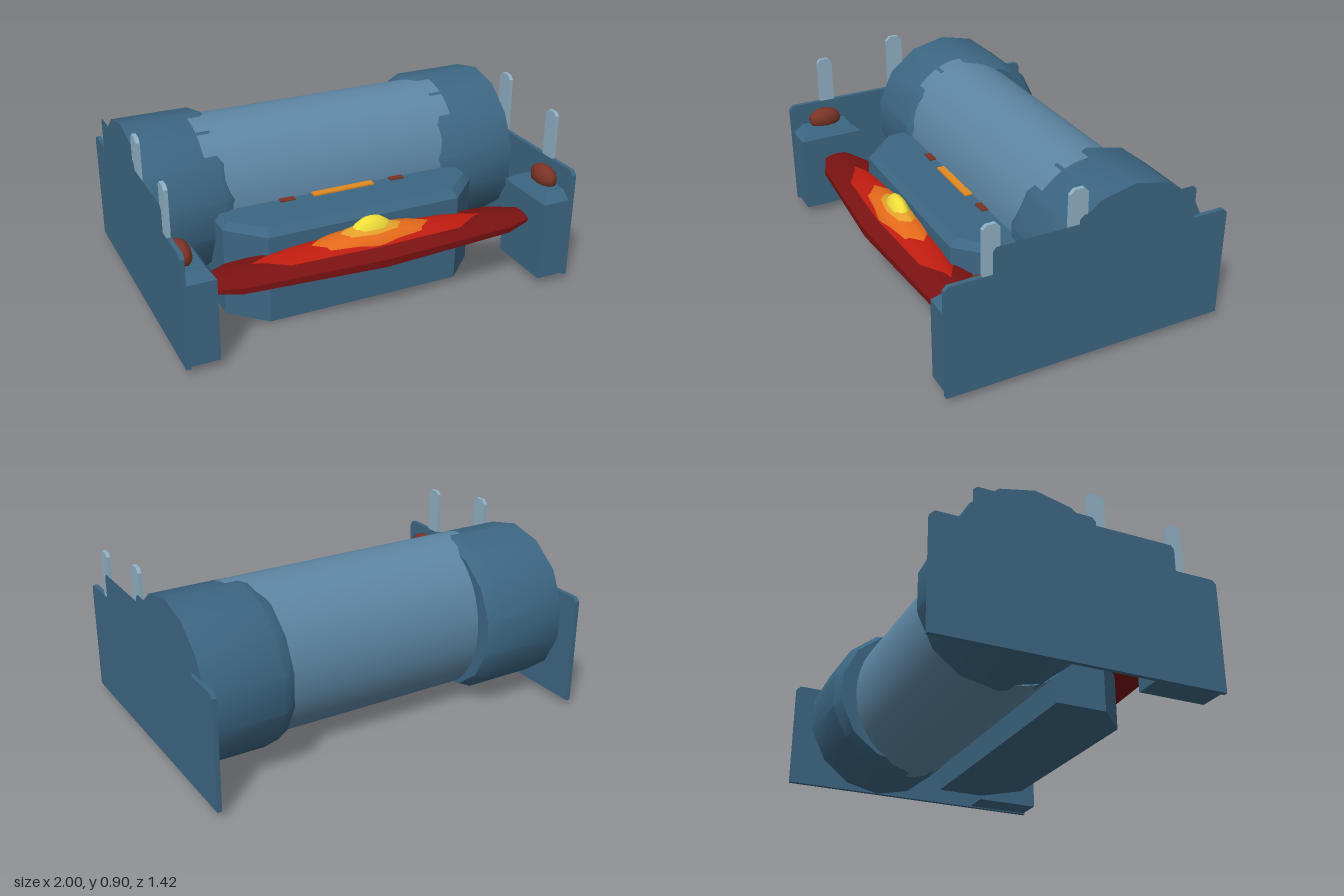
import * as THREE from 'three';
import { toCreasedNormals } from 'three/addons/utils/BufferGeometryUtils.js';
import { ConvexGeometry } from 'three/addons/geometries/ConvexGeometry.js';

const mat = (color, opts = {}) => new THREE.MeshStandardMaterial({ color, ...opts });
const STEEL = mat(0x3c6682), TUBE = mat(0x5d86a3), TAB = mat(0x8fb0c4);
const RUST = mat(0x7a3426), AMBER = mat(0xe08a20);

export function createModel() {
  const model = new THREE.Group();

  const add = (name, geometry, material, x = 0, y = 0, z = 0) => {
    const mesh = new THREE.Mesh(geometry, material);
    mesh.name = name;
    mesh.position.set(x, y, z);
    model.add(mesh);
    return mesh;
  };

  // Turned solid about the x axis; points are [radius, x]
  const turned = (points, sides) => new THREE.LatheGeometry(
    points.map(p => new THREE.Vector2(...p)), sides, -Math.PI / 2).rotateZ(-Math.PI / 2);

  // Outline of [z, y] points, turned to face outward on side s (+1 or -1)
  const sideShape = (points, s) => new THREE.Shape(points.map(([z, y]) => new THREE.Vector2(-s * z, y)));
  const sidePanel = (points, s, depth) => new THREE.ExtrudeGeometry(
    sideShape(points, s), { depth, bevelEnabled: false }).rotateY(s * Math.PI / 2);

  // Outline with both top corners cut
  const cutTop = (z0, z1, y0, y1, c) =>
    [[z0, y0], [z1, y0], [z1, y1 - c], [z1 - c, y1], [z0 + c, y1], [z0, y1 - c]];

  // Upright prism from [x, z] plans, chamfered in to a smaller top plan
  const prism = (plan, topPlan, y0, y1, y2) => new ConvexGeometry([
    ...plan.flatMap(([x, z]) => [new THREE.Vector3(x, y0, z), new THREE.Vector3(x, y1, z)]),
    ...topPlan.map(([x, z]) => new THREE.Vector3(x, y2, z))]);

  // Centre tube, slightly taller than deep
  const tube = turned([[0, -0.665], [0.395, -0.665], [0.395, 0.665], [0, 0.665]], 40).scale(1, 1, 0.85);
  add('drumTube', toCreasedNormals(tube, 0.7), TUBE, 0, 0.44, -0.165);

  // Front block with angled corners
  const blockPlan = (w, fw, back, mid, front) =>
    [[-w, back], [w, back], [w, mid], [fw, front], [-fw, front], [-w, mid]];
  add('frontBlock', prism(blockPlan(0.665, 0.5, 0.04, 0.29, 0.45),
    blockPlan(0.635, 0.485, 0.07, 0.275, 0.415), 0, 0.445, 0.48), STEEL);
  add('amberBar', new THREE.BoxGeometry(0.325, 0.02, 0.045), AMBER, 0, 0.478, 0.185);

  for (const s of [1, -1]) {
    // Drum end caps
    const cap = turned([[0, 0.54], [0.375, 0.54], [0.405, 0.6], [0.405, 0.98], [0, 0.98]], 14);
    if (s < 0) cap.rotateY(Math.PI);
    add('drumCap', toCreasedNormals(cap, 0.6), STEEL, 0, 0.44, -0.21);

    // Side plates with their outer facing
    add('sidePlate', sidePanel(cutTop(-0.71, 0.71, 0.035, 0.6, 0.02), s, 0.022), STEEL, s * 0.976);
    const facing = [[0.49, 0.28], [-0.52, 0.28], [-0.52, 0.75], [-0.5, 0.77], [0.06, 0.77],
      [0.08, 0.75], [0.08, 0.73], [0.475, 0.73], [0.49, 0.71]];
    add('sideFacing', new THREE.ShapeGeometry(sideShape(facing, s)).rotateY(s * Math.PI / 2),
      STEEL, s);

    // Upright tabs
    add('frontTab', sidePanel(cutTop(0.455, 0.535, 0.45, 0.84, 0.018), s, 0.019), TAB, s * 0.978);
    add('rearTab', sidePanel(cutTop(0.04, 0.13, 0.45, 0.9, 0.022), s, 0.019), TAB, s * 0.978);

    // Corner posts and their domes
    const rect = (x0, x1, z0, z1) => [[s * x0, z0], [s * x1, z0], [s * x1, z1], [s * x0, z1]];
    add('cornerPost', prism(rect(0.835, 0.99, 0.36, 0.7), rect(0.865, 0.985, 0.41, 0.65),
      0.04, 0.445, 0.485), STEEL);
    add('postDome', new THREE.SphereGeometry(1, 10, 8).scale(0.05, 0.06, 0.09), RUST,
      s * 0.942, 0.513, 0.53);

    // Small markers beside the amber bar
    add('marker', new THREE.BoxGeometry(0.075, 0.016, 0.04), RUST, s * 0.295, 0.478, 0.182);
  }

  // Long flattened spindle
  const spindle = turned([[0, -0.84], [0.07, -0.84], [0.13, -0.69], [0.175, 0],
    [0.13, 0.69], [0.07, 0.84], [0, 0.84]], 10).scale(1, 0.35, 1);
  add('spindle', toCreasedNormals(spindle, 0.9), mat(0x7a1212), 0, 0.312, 0.508);

  // Nested glowing lenses: half sizes x, y, z, centre y, colour
  const lenses = [
    ['redLens', 0.7, 0.07, 0.13, 0.325, 0xc01c10, 8],
    ['orangeLens', 0.4, 0.085, 0.11, 0.335, 0xe56a1a, 8],
    ['goldLens', 0.235, 0.1, 0.08, 0.34, 0xe8a22c, 8],
    ['yellowLens', 0.125, 0.125, 0.055, 0.352, 0xf2e03a, 12]];
  for (const [name, rx, ry, rz, y, color, sides] of lenses)
    add(name, new THREE.SphereGeometry(1, sides, 8).scale(rx, ry, rz), mat(color), 0, y, 0.495);

  return model;
}
